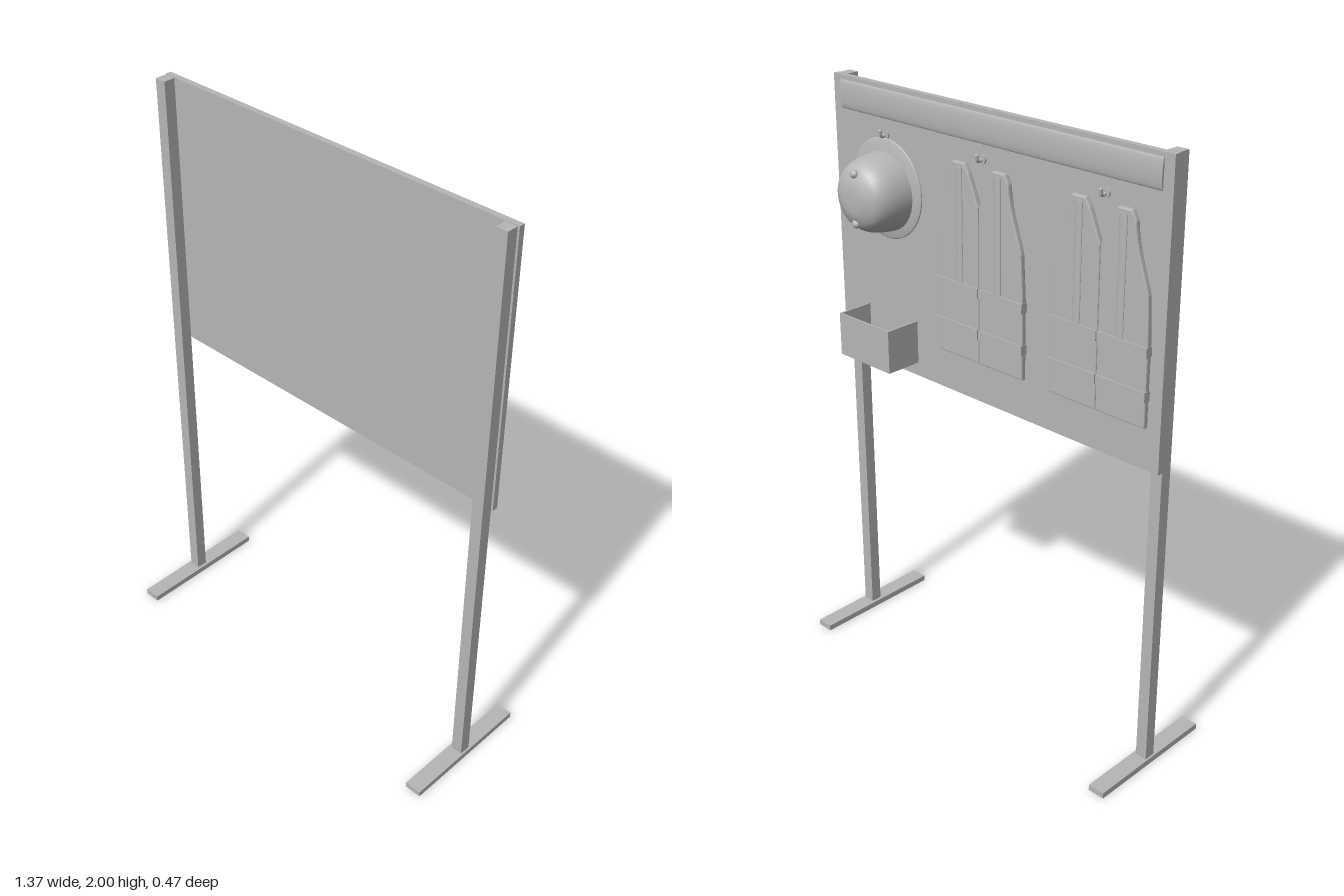
import * as THREE from 'three';

const grey = new THREE.MeshStandardMaterial({ color: 0xb6b6b6 });
grey.name = 'grey';

function add(parent, name, geometry, x = 0, y = 0, z = 0) {
  const mesh = new THREE.Mesh(geometry, grey);
  mesh.name = name;
  mesh.position.set(x, y, z);
  parent.add(mesh);
  return mesh;
}

// box given by its limits on each axis
function block(parent, name, x0, x1, y0, y1, z0, z1) {
  return add(parent, name, new THREE.BoxGeometry(x1 - x0, y1 - y0, z1 - z0),
    (x0 + x1) / 2, (y0 + y1) / 2, (z0 + z1) / 2);
}

function group(parent, name, x = 0, y = 0, z = 0) {
  const g = new THREE.Group();
  g.name = name;
  g.position.set(x, y, z);
  parent.add(g);
  return g;
}

const BACK = -0.046; // rear face of the board

// peg with an upturned tip, pointing to -z
function addHook(parent, x, y) {
  const hook = group(parent, 'hook', x, y, BACK);
  const plate = add(hook, 'hookPlate', new THREE.CylinderGeometry(0.014, 0.014, 0.006, 16), 0, 0, -0.003);
  plate.rotation.x = Math.PI / 2;
  const path = new THREE.CatmullRomCurve3([
    new THREE.Vector3(0, 0, 0), new THREE.Vector3(0, -0.004, -0.016),
    new THREE.Vector3(0, 0, -0.024), new THREE.Vector3(0, 0.014, -0.026),
  ]);
  add(hook, 'hookPeg', new THREE.TubeGeometry(path, 12, 0.005, 8));
  add(hook, 'hookTip', new THREE.SphereGeometry(0.006, 10, 8), 0, 0.014, -0.026);
}

// vest of two front panels with raised bands
function addVest(parent, x) {
  const vest = group(parent, 'vest', x, 0, 0);
  for (const s of [1, -1]) {
    const p = (px, py) => new THREE.Vector2(s * px, py);
    const shape = new THREE.Shape();
    shape.setFromPoints([p(0.005, 1.205), p(0.178, 1.205), p(0.178, 1.46), p(0.17, 1.6)]);
    shape.bezierCurveTo(s * 0.155, 1.66, s * 0.125, 1.71, s * 0.118, 1.8);
    shape.lineTo(s * 0.105, 1.825);
    shape.lineTo(s * 0.06, 1.825);
    shape.lineTo(s * 0.045, 1.8);
    shape.lineTo(s * 0.005, 1.705);
    const panel = new THREE.ExtrudeGeometry(shape, {
      depth: 0.01, bevelEnabled: true, bevelSize: 0.004, bevelThickness: 0.004,
      bevelSegments: 2, curveSegments: 8,
    });
    add(vest, 'vestPanel', panel, 0, 0, -0.064);

    // softly rounded shoulder band
    const band = add(vest, 'shoulderBand', new THREE.CylinderGeometry(1, 1, 0.37, 16), s * 0.08, 1.63, -0.068);
    band.scale.set(0.014, 1, 0.005);

    for (const y of [1.3, 1.435]) {
      block(vest, 'waistBand', Math.min(s * 0.002, s * 0.183), Math.max(s * 0.002, s * 0.183),
        y - 0.016, y + 0.016, -0.073, -0.049);
    }
  }
}

export function createModel() {
  const model = new THREE.Group();
  model.name = 'displayStand';

  // posts and feet
  for (const s of [-1, 1]) {
    block(model, 'foot', s * 0.654 - 0.029, s * 0.654 + 0.029, 0, 0.02, -0.24, 0.235);
    block(model, 'post', s * 0.656 - 0.02, s * 0.656 + 0.02, 0.02, 2, -0.022, 0.017);
  }

  // board and header strip
  block(model, 'board', -0.68, 0.68, 1.06, 2, BACK, -0.026);
  const header = add(model, 'headerStrip', new THREE.CylinderGeometry(1, 1, 1.29, 24), 0, 1.94, BACK);
  header.rotation.z = Math.PI / 2;
  header.scale.set(0.046, 1, 0.007);

  // two vests on hooks
  for (const x of [0.018, -0.455]) {
    addVest(model, x);
    addHook(model, x, 1.85);
  }

  // helmet with its crown towards -z
  addHook(model, 0.44, 1.845);
  const helmet = group(model, 'helmet', 0.44, 1.667, BACK);
  const lathe = (points) => new THREE.LatheGeometry(
    new THREE.SplineCurve(points.map(([r, h]) => new THREE.Vector2(r, h))).getPoints(24), 40);
  const crown = add(helmet, 'helmetCrown', lathe([
    [0.129, 0.008], [0.125, 0.05], [0.115, 0.095], [0.095, 0.128], [0.06, 0.147], [0.03, 0.153], [0, 0.154],
  ]));
  crown.rotation.x = -Math.PI / 2;
  const brim = add(helmet, 'helmetBrim', lathe([
    [0.12, 0.002], [0.155, 0.002], [0.16, 0.005], [0.155, 0.009], [0.125, 0.016], [0.11, 0.018],
  ]), 0, 0.006, 0);
  brim.rotation.x = -Math.PI / 2;
  brim.scale.z = 1.02;
  for (const s of [-1, 1]) {
    const knob = add(helmet, 'helmetKnob', new THREE.SphereGeometry(1, 16, 12), 0, s * 0.08, -0.138);
    knob.scale.set(0.015, 0.014, 0.012);
  }

  // open-topped leaflet pocket
  const pocket = group(model, 'leafletPocket');
  block(pocket, 'pocketFront', 0.32, 0.556, 1.107, 1.253, -0.174, -0.168);
  block(pocket, 'pocketBottom', 0.32, 0.556, 1.107, 1.113, -0.168, BACK);
  for (const x of [0.32, 0.55]) {
    block(pocket, 'pocketSide', x, x + 0.006, 1.113, 1.253, -0.168, BACK);
  }

  return model;
}
